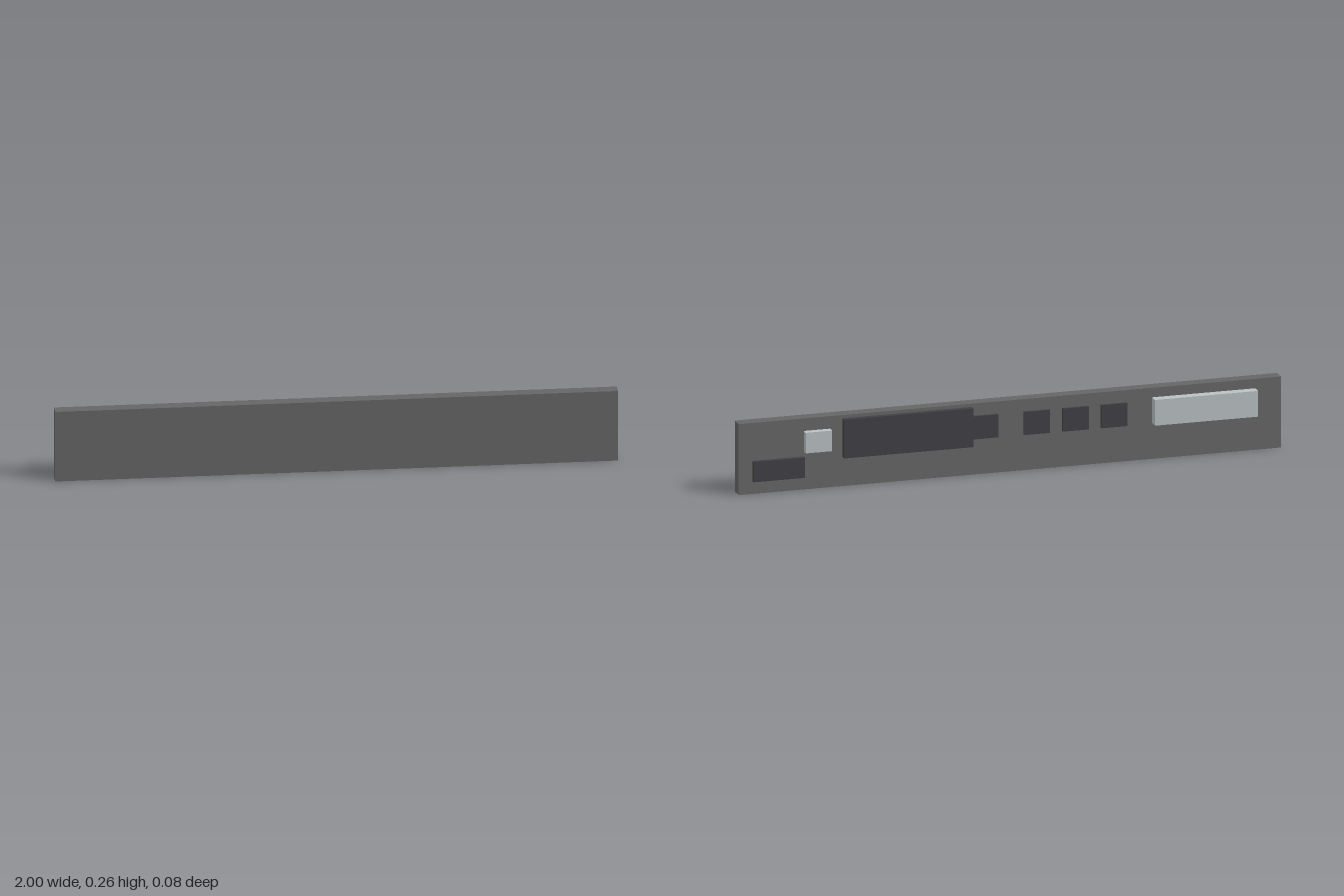
import * as THREE from 'three';

const material = (name, color) => {
  const m = new THREE.MeshStandardMaterial({ color });
  m.name = name;
  return m;
};

export function createModel() {
  const boardGrey = material('board grey', 0x666666);
  const chipBlack = material('chip black', 0x404045);
  const paleMetal = material('pale metal', 0xb9c1c2);

  const model = new THREE.Group();
  model.name = 'circuitBoard';

  // A box given by its extents on each axis
  const addBox = (name, mat, [x0, x1], [y0, y1], [z0, z1]) => {
    const mesh = new THREE.Mesh(new THREE.BoxGeometry(x1 - x0, y1 - y0, z1 - z0), mat);
    mesh.position.set((x0 + x1) / 2, (y0 + y1) / 2, (z0 + z1) / 2);
    mesh.name = name;
    model.add(mesh);
  };

  // Long flat board
  const back = -0.005;
  addBox('board', boardGrey, [-1, 1], [0, 0.262], [back, 0.041]);

  // Large components mounted on the back
  addBox('mainModule', chipBlack, [0.14, 0.617], [0.107, 0.25], [-0.024, back]);
  addBox('lowerModule', chipBlack, [0.76, 0.95], [0.047, 0.122], [-0.02, back]);
  addBox('smallConnector', paleMetal, [0.663, 0.76], [0.14, 0.216], [-0.03, back]);
  addBox('longConnector', paleMetal, [-0.905, -0.525], [0.132, 0.227], [-0.039, back]);

  // Row of small chips
  for (const x of [0.045, -0.145, -0.288, -0.43]) {
    addBox('chip', chipBlack, [x, x + 0.095], [0.132, 0.217], [-0.015, back]);
  }

  return model;
}
